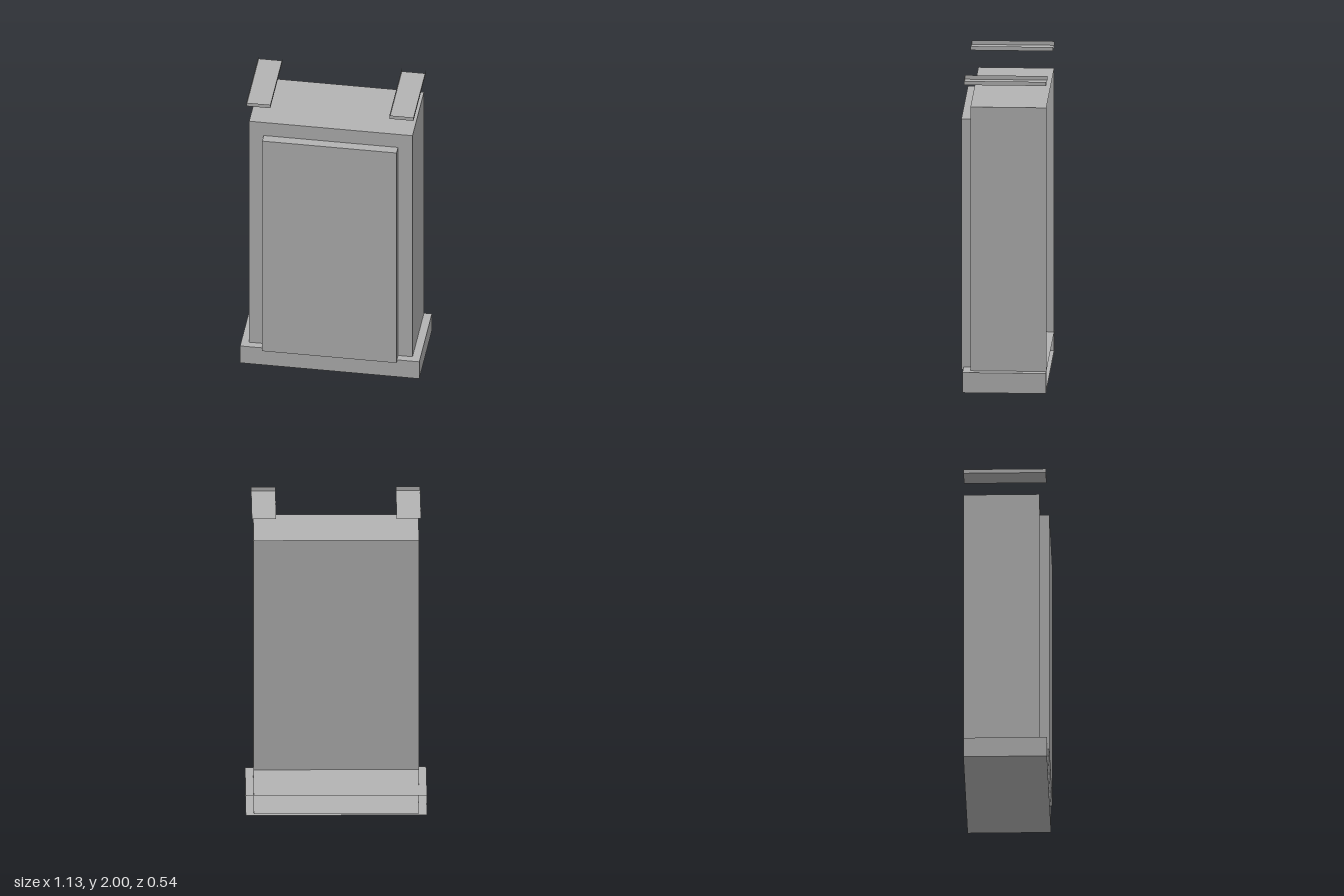
import * as THREE from 'three';

const FACES = ['right', 'left', 'top', 'bottom', 'front', 'back'];

// Thin-walled box between two corners, with the listed faces left open
function shell(name, material, [x0, y0, z0], [x1, y1, z1], open) {
  const geometry = new THREE.BoxGeometry(x1 - x0, y1 - y0, z1 - z0);
  const source = Array.from(geometry.index.array);
  const kept = FACES.flatMap((face, i) =>
    open.includes(face) ? [] : source.slice(i * 6, i * 6 + 6));
  geometry.setIndex(kept);
  geometry.clearGroups();
  geometry.translate((x0 + x1) / 2, (y0 + y1) / 2, (z0 + z1) / 2);
  const mesh = new THREE.Mesh(geometry, material);
  mesh.name = name;
  return mesh;
}

export function createModel() {
  const grey = new THREE.MeshStandardMaterial({ color: 0xb3b3b3, side: THREE.DoubleSide });
  grey.name = 'plain grey';

  const model = new THREE.Group();
  model.name = 'cabinet';
  const back = -0.268;

  // Plinth, cabinet body and raised front panel, all open at the back
  model.add(
    shell('plinth', grey, [-0.567, 0, back], [0.567, 0.13, 0.255], ['back']),
    shell('body', grey, [-0.517, 0.01, back], [0.517, 1.83, 0.207], ['back']),
    shell('frontPanel', grey, [-0.425, 0.115, 0.207], [0.425, 1.73, 0.268], ['back']),
  );

  // Shallow trays floating above each side, open at the top and back
  for (const [name, x] of [['leftTray', 0.453], ['rightTray', -0.453]]) {
    model.add(shell(name, grey, [x - 0.076, 1.974, back], [x + 0.076, 2, 0.248], ['top', 'back']));
  }
  return model;
}
